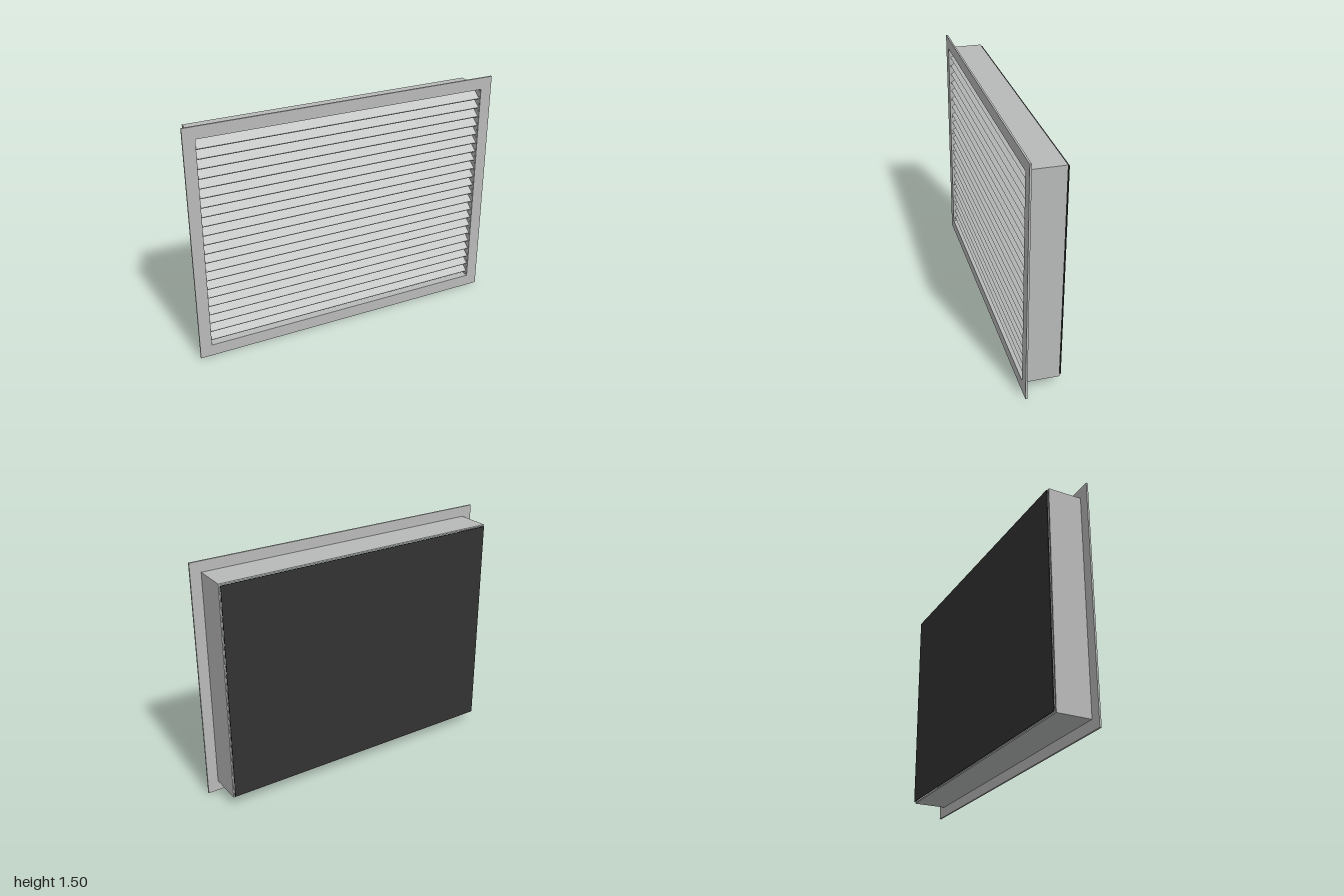
import * as THREE from 'three';

const CY = 0.752; // height of the louvre's centre

// Rectangular ring extruded along z, from z0 to z1
function ring(w, h, holeW, holeH, z0, z1) {
  const shape = new THREE.Shape();
  shape.moveTo(-w / 2, -h / 2).lineTo(w / 2, -h / 2).lineTo(w / 2, h / 2).lineTo(-w / 2, h / 2).closePath();
  const hole = new THREE.Path();
  hole.moveTo(-holeW / 2, -holeH / 2).lineTo(-holeW / 2, holeH / 2).lineTo(holeW / 2, holeH / 2).lineTo(holeW / 2, -holeH / 2).closePath();
  shape.holes.push(hole);
  return new THREE.ExtrudeGeometry(shape, { depth: z1 - z0, bevelEnabled: false }).translate(0, CY, z0);
}

export function createModel() {
  const group = new THREE.Group();
  const frameMetal = new THREE.MeshStandardMaterial({ color: 0xb8bab9 });
  frameMetal.name = 'frame aluminium';
  const bladeMetal = new THREE.MeshStandardMaterial({ color: 0xc4c6c5 });
  bladeMetal.name = 'blade aluminium';
  const meshDark = new THREE.MeshStandardMaterial({ color: 0x333333 });
  meshDark.name = 'dark screen';

  const add = (name, geometry, material, parent = group) => {
    const mesh = new THREE.Mesh(geometry, material);
    mesh.name = name;
    parent.add(mesh);
    return mesh;
  };

  // Front flange and the duct sleeve behind it
  add('frontFlange', ring(2, 1.504, 1.852, 1.354, 0.106, 0.117), frameMetal);
  add('sleeve', ring(1.866, 1.372, 1.85, 1.354, -0.106, 0.106), frameMetal);

  // Thin screen standing just off the back of the sleeve
  add('rearScreen', new THREE.BoxGeometry(1.85, 1.354, 0.005).translate(0, CY, -0.1145), meshDark);

  // Sloping blades: low at the front, rising to the back
  const blades = new THREE.Group();
  blades.name = 'blades';
  group.add(blades);
  const count = 22, pitch = 0.06, tilt = 0.64, length = 0.08, thick = 0.008;
  const blade = new THREE.BoxGeometry(1.85, thick, length).rotateX(tilt);
  for (let i = 0; i < count; i++) {
    const mesh = add('blade', blade, bladeMetal, blades);
    mesh.position.set(0, 0.127 + i * pitch, 0.071);
  }
  return group;
}
